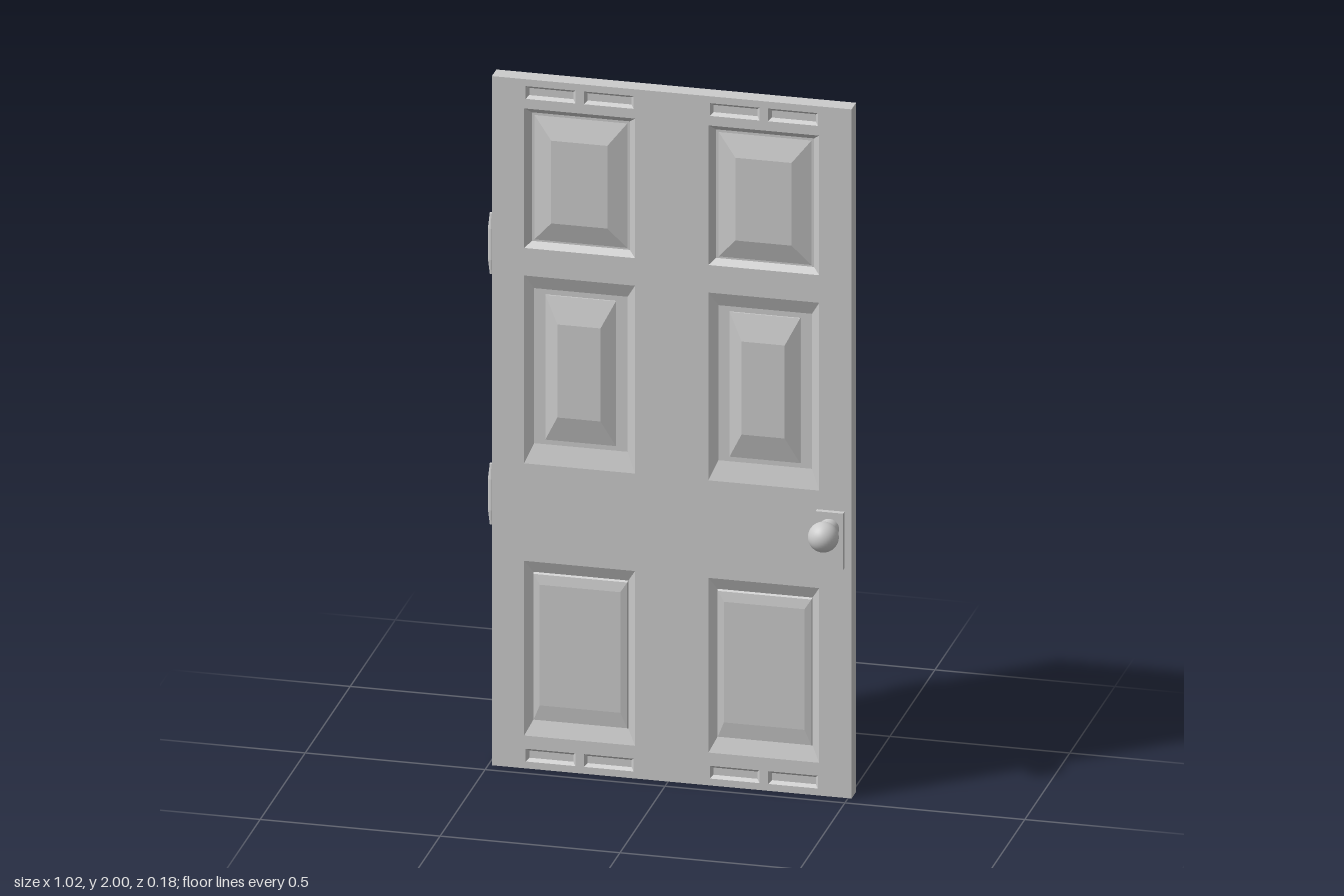
import * as THREE from 'three';

const grey = new THREE.MeshStandardMaterial({ color: 0xcccccc });
const flat = new THREE.MeshStandardMaterial({ color: 0xcccccc, flatShading: true });
const MID_X = 0.01, MID_Z = -0.06, THICK = 0.05, COLUMN = 0.256;

// Panels: rings of [half width, bottom, top, height above the door face], outermost first
const panels = [
  { name: 'topPanel', x: COLUMN, rings: [
    [0.154, 1.51, 1.915, 0], [0.136, 1.527, 1.9, -0.014], [0.129, 1.532, 1.893, -0.014],
    [0.078, 1.59, 1.83, 0.004]] },
  { name: 'middlePanel', x: COLUMN, rings: [
    [0.154, 0.885, 1.43, 0], [0.13, 0.94, 1.39, -0.015], [0.098, 0.955, 1.375, -0.015],
    [0.098, 0.955, 1.375, -0.011], [0.06, 1.03, 1.3, 0.008]] },
  { name: 'bottomPanel', x: COLUMN, rings: [
    [0.154, 0.095, 0.602, 0], [0.132, 0.138, 0.567, -0.014], [0.13, 0.14, 0.563, -0.009],
    [0.112, 0.185, 0.535, -0.004]] },
];
for (const [y0, y1] of [[1.943, 1.98], [0.02, 0.057]]) {
  for (const dx of [-0.081, 0.081]) {
    panels.push({ name: 'slot', x: COLUMN + dx, rings: [
      [0.069, y0, y1, 0], [0.061, y0 + 0.008, y1 - 0.008, -0.01]] });
  }
}

function rectangle(Type, x0, x1, y0, y1) {
  return new Type([[x0, y0], [x1, y0], [x1, y1], [x0, y1]].map(p => new THREE.Vector2(...p)));
}

// Joins nested rectangular rings with sloped faces and caps the innermost
function panelGeometry(rings) {
  const pos = [], index = [];
  for (const [w, y0, y1, z] of rings) pos.push(-w, y0, z, w, y0, z, w, y1, z, -w, y1, z);
  for (let r = 0; r < rings.length - 1; r++) {
    for (let i = 0; i < 4; i++) {
      const a = r * 4 + i, b = r * 4 + (i + 1) % 4;
      index.push(a, b, b + 4, a, b + 4, a + 4);
    }
  }
  const c = (rings.length - 1) * 4;
  index.push(c, c + 1, c + 2, c, c + 2, c + 3);
  const g = new THREE.BufferGeometry();
  g.setAttribute('position', new THREE.Float32BufferAttribute(pos, 3));
  g.setIndex(index);
  const out = g.toNonIndexed();
  out.computeVertexNormals();
  return out;
}

function add(parent, name, geometry, x, y, z, material = grey) {
  const mesh = new THREE.Mesh(geometry, material);
  mesh.name = name;
  mesh.position.set(x, y, z);
  parent.add(mesh);
  return mesh;
}

export function createModel() {
  const door = new THREE.Group();
  door.name = 'door';

  // Slab with openings for the panels
  const outline = rectangle(THREE.Shape, -0.5, 0.5, 0, 2);
  for (const { x, rings } of panels) {
    const [w, y0, y1] = rings[0];
    for (const s of [-1, 1]) outline.holes.push(rectangle(THREE.Path, s * x - w, s * x + w, y0, y1));
  }
  add(door, 'slab', new THREE.ExtrudeGeometry(outline, { depth: THICK, bevelEnabled: false }),
    MID_X, 0, MID_Z - THICK / 2, flat);

  // Panels and slots on both faces
  for (const side of ['front', 'back']) {
    const face = new THREE.Group();
    face.name = side + 'Panels';
    face.position.set(MID_X, 0, MID_Z);
    if (side === 'back') face.rotation.y = Math.PI;
    for (const { name, x, rings } of panels) {
      const geometry = panelGeometry(rings);
      for (const s of [-1, 1]) add(face, name, geometry, s * x, 0, THICK / 2, flat);
    }
    door.add(face);
  }

  // Handle: plate, neck and ball
  const handle = new THREE.Group();
  handle.name = 'handle';
  handle.position.set(0.452, 0.785, 0);
  add(handle, 'plate', new THREE.BoxGeometry(0.077, 0.163, 0.016), 0, -0.036, -0.028);
  add(handle, 'neck', new THREE.CylinderGeometry(0.027, 0.027, 0.06, 32), 0, 0, 0.005).rotation.x = Math.PI / 2;
  add(handle, 'knob', new THREE.SphereGeometry(0.042, 32, 20), 0, 0, 0.047);
  door.add(handle);

  // Hinges: tapered barrel and a short leaf
  const profile = [[0, -0.088], [0.006, -0.088], [0.011, -0.045], [0.011, 0.045], [0.006, 0.088], [0, 0.088]]
    .map(p => new THREE.Vector2(...p));
  for (const y of [0.77, 1.497]) {
    const hinge = new THREE.Group();
    hinge.name = 'hinge';
    hinge.position.set(-0.501, y, -0.08);
    add(hinge, 'barrel', new THREE.LatheGeometry(profile, 16), 0, 0, 0, flat);
    add(hinge, 'leaf', new THREE.BoxGeometry(0.012, 0.09, 0.006), 0.008, 0, 0);
    door.add(hinge);
  }
  return door;
}
